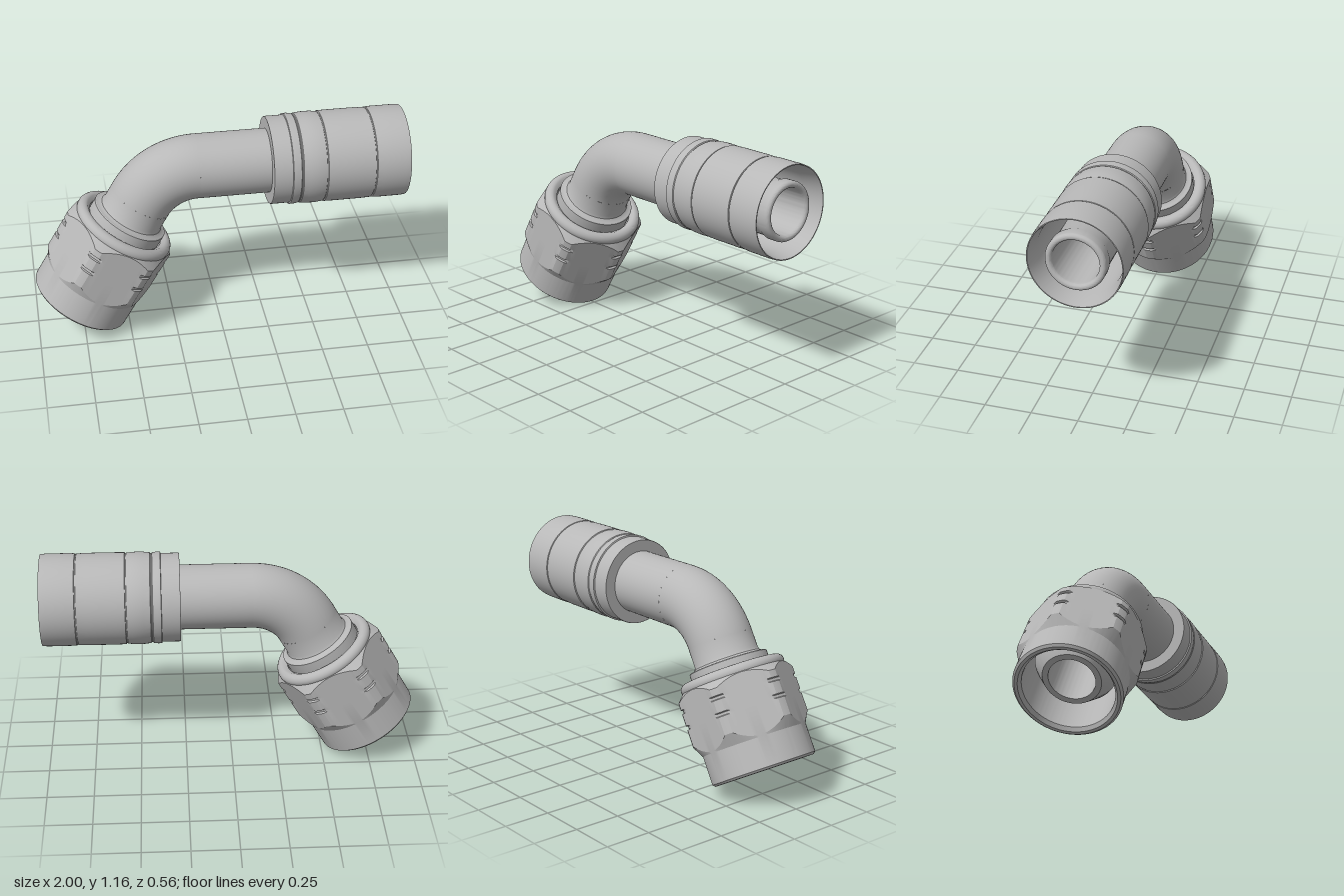
import * as THREE from 'three';
import { toCreasedNormals } from 'three/addons/utils/BufferGeometryUtils.js';

const steel = new THREE.MeshStandardMaterial({ color: 0xb8b8b8, side: THREE.DoubleSide });
steel.name = 'steel';

const TUBE = 0.172, BORE = 0.12, AXIS_Y = 0.928, BEND = 0.345;

function part(name, geometry, parent) {
  const mesh = new THREE.Mesh(geometry, steel);
  mesh.name = name;
  parent.add(mesh);
  return mesh;
}

// round part from [radius, height] pairs
function turned(points, crease = 0.6) {
  const profile = points.map(([r, h]) => new THREE.Vector2(r, h));
  return toCreasedNormals(new THREE.LatheGeometry(profile, 96), crease);
}

// like a lathe, but the profile may change with the angle
function loft(profileAt, steps) {
  const pos = [], index = [];
  let n = 0;
  for (let i = 0; i <= steps; i++) {
    const t = (i / steps) * Math.PI * 2;
    const rows = profileAt(t);
    n = rows.length;
    for (const [r, h] of rows) pos.push(r * Math.sin(t), h, r * Math.cos(t));
  }
  for (let i = 0; i < steps; i++) {
    for (let j = 0; j < n - 1; j++) {
      const a = i * n + j, b = a + n;
      index.push(a, b, a + 1, b + 1, a + 1, b);
    }
  }
  const g = new THREE.BufferGeometry();
  g.setAttribute('position', new THREE.Float32BufferAttribute(pos, 3));
  g.setIndex(index);
  return toCreasedNormals(g, 0.3);
}

// points on an arc in the [radius, height] plane
function arc(r, h, radius, from, to, steps = 10) {
  return Array.from({ length: steps + 1 }, (_, i) => {
    const a = from + ((to - from) * i) / steps;
    return [r + radius * Math.cos(a), h + radius * Math.sin(a)];
  });
}

// hexagon with turned chamfers at both ends and pairs of notches on its corners
function nutProfile(t) {
  const sixth = Math.PI / 3;
  const phi = ((t + sixth / 2) % sixth) - sixth / 2;
  const h = Math.min(0.28 / Math.cos(phi), 0.312);
  const floor = Math.min(h, 0.301);
  const rows = [
    [0.235, 0.3], [0.235, 0.02], [0.25, 0], [0.266, 0], [0.278, 0.012],
    [0.278, 0.165], [h, 0.17 + (h - 0.278) * 1.65],
  ];
  for (const s of [0.33, 0.415]) {
    rows.push([h, s - 0.011], [floor, s - 0.007], [floor, s + 0.006], [h, s + 0.011]);
  }
  rows.push([h, 0.5 - (h - 0.28) * 1.15], [0.277, 0.503], [0.25, 0.51]);
  return rows;
}

export function createModel() {
  const model = new THREE.Group();
  model.name = 'elbowFitting';

  // bend between the two straight runs
  for (const [name, r] of [['bend', TUBE], ['bendBore', BORE]]) {
    const bend = part(name, new THREE.TorusGeometry(BEND, r, 48, 40, Math.PI / 3), model);
    bend.position.set(-0.11, AXIS_Y - BEND, 0);
    bend.rotation.z = Math.PI / 2;
  }

  // swivel end, tilted 30 degrees from upright
  const swivel = new THREE.Group();
  swivel.name = 'swivelEnd';
  swivel.position.set(-0.762, 0.143, 0);
  swivel.rotation.z = -Math.PI / 6;
  model.add(swivel);

  part('hexNut', loft(nutProfile, 180), swivel);

  part('nutRing', turned([
    [0.235, 0.3], [0.215, 0.3], [0.215, 0.53], [0.235, 0.547],
    ...arc(0.246, 0.515, 0.034, Math.PI / 2, -Math.PI / 2),
  ].reverse()), swivel);

  part('tailTube', turned([
    [BORE, 0.707], [BORE, 0.1], [0.15, 0.1], [0.21, 0.2], [0.21, 0.585],
    [0.206, 0.589], [0.19, 0.592], [0.178, 0.6], [TUBE, 0.615], [TUBE, 0.707],
  ]), swivel);

  // hose end, running along +x
  const hoseEnd = new THREE.Group();
  hoseEnd.name = 'hoseEnd';
  hoseEnd.position.set(0, AXIS_Y, 0);
  hoseEnd.rotation.z = -Math.PI / 2;
  model.add(hoseEnd);

  part('straightTube', turned([[TUBE, -0.11], [TUBE, 0.3]]), hoseEnd);

  // nipple with rounded lip, and the bore behind it
  part('nipple', turned([
    [0.145, 0.44], [0.145, 0.9], [0.155, 0.93], [0.155, 0.965],
    ...arc(0.1375, 0.975, 0.0175, 0, Math.PI),
    [BORE, 0.96], [BORE, -0.11],
  ]), hoseEnd);

  // crimped shell with shallow bulges and grooves
  part('ferrule', turned([
    [TUBE, 0.27], [0.233, 0.27], [0.235, 0.273], [0.235, 0.368], [0.243, 0.37],
    [0.243, 0.39], [0.24, 0.413], [0.236, 0.417], [0.236, 0.422], [0.24, 0.426],
    [0.244, 0.46], [0.245, 0.49], [0.244, 0.52], [0.24, 0.549], [0.237, 0.551],
    [0.237, 0.555], [0.243, 0.557], [0.244, 0.6], [0.244, 0.76], [0.242, 0.81],
    [0.238, 0.812], [0.238, 0.816], [0.243, 0.818], [0.245, 0.85], [0.245, 0.97],
    [0.243, 1], [0.238, 1], [0.22, 0.9], [0.22, 0.45], [0.14, 0.45],
  ], 0.4), hoseEnd);

  return model;
}
